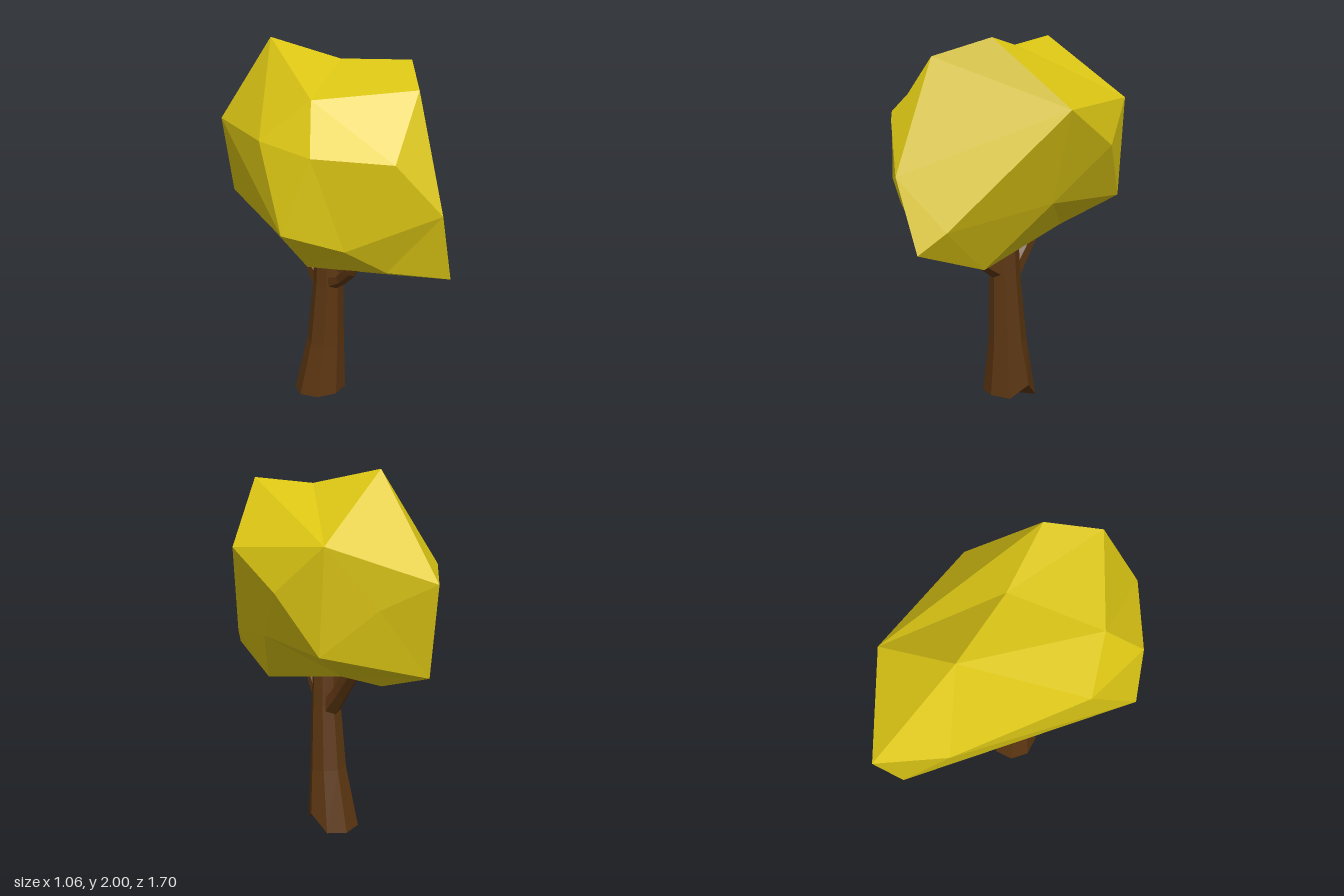
import * as THREE from 'three';
import { ConvexGeometry } from 'three/addons/geometries/ConvexGeometry.js';

const V = (x, y, z) => new THREE.Vector3(x, y, z);
const leafMaterial = new THREE.MeshStandardMaterial({ color: 0xdcc614, flatShading: true });
const barkMaterial = new THREE.MeshStandardMaterial({ color: 0x5c3611, flatShading: true });

// Faceted limb: a cylinder whose rings follow [x, y, z, radius] stations
function limb(stations, sides) {
  const last = stations.length - 1;
  const geometry = new THREE.CylinderGeometry(1, 1, 1, sides, last);
  const position = geometry.attributes.position;
  const centres = stations.map(([x, y, z]) => V(x, y, z));
  for (let i = 0; i < position.count; i++) {
    const k = Math.round((position.getY(i) + 0.5) * last);
    const along = centres[Math.min(k + 1, last)].clone().sub(centres[Math.max(k - 1, 0)]).normalize();
    const turn = new THREE.Quaternion().setFromUnitVectors(V(0, 1, 0), along);
    const p = V(position.getX(i), 0, position.getZ(i)).multiplyScalar(stations[k][3]);
    p.applyQuaternion(turn).add(centres[k]);
    position.setXYZ(i, p.x, p.y, p.z);
  }
  geometry.computeVertexNormals();
  return geometry;
}

// Uneven foot: the cut slopes up to the front, with one notch on the side
function trunkGeometry() {
  const geometry = limb([
    [0, 0.02, 0.025, 0.146], [0.015, 0.35, 0.055, 0.104],
    [0.015, 0.72, 0.075, 0.083], [0.012, 1.05, 0.078, 0.072],
  ], 8);
  const p = geometry.attributes.position;
  for (let i = 0; i < p.count; i++) {
    if (p.getY(i) < 0.15) p.setY(i, p.getX(i) > 0.13 ? 0.1 : Math.max(0, 0.02 + 0.14 * p.getZ(i)));
  }
  geometry.computeVertexNormals();
  return geometry;
}

// Corners of the leaf mass
const corners = [
  // top
  [-0.05, 2, -0.34], [0.26, 1.95, 0.41], [0.1, 1.925, 0.06], [-0.29, 1.81, 0.32], [0.09, 1.86, 0.64],
  // upper sides
  [0.37, 1.66, -0.5], [0.53, 1.61, 0.14], [-0.45, 1.6, 0.12], [-0.42, 1.59, 0.48], [-0.12, 1.56, 0.72],
  [-0.24, 1.55, -0.56], [-0.02, 1.5, -0.85],
  // lower sides
  [0.49, 1.42, -0.23], [0.17, 1.37, -0.66], [0.07, 1.31, 0.85], [-0.53, 1.22, 0.4], [0.37, 1.13, -0.45],
  [0.38, 1.14, 0.1], [-0.27, 1.12, 0.55], [-0.05, 1.04, -0.76], [0.25, 1.05, 0.7], [0.18, 0.95, 0.82],
  // underside
  [-0.06, 0.98, 0.62], [0.2, 0.82, 0.41], [-0.17, 0.87, 0.13], [-0.05, 0.91, -0.37], [0.12, 0.96, -0.26],
].map((c) => V(...c));

// Join the corners as if spread over a near sphere, then move them to their places,
// so that shallow hollows survive
function crownGeometry() {
  const spread = corners.map((c) => {
    const p = V(c.x / 0.53, (c.y - 1.42) / 0.58, c.z / 0.85);
    return p.multiplyScalar(Math.pow(p.length(), -0.85));
  });
  const geometry = new ConvexGeometry(spread);
  const position = geometry.attributes.position;
  const p = V(0, 0, 0);
  for (let i = 0; i < position.count; i++) {
    p.fromBufferAttribute(position, i);
    let best = 0;
    spread.forEach((s, k) => {
      if (s.distanceToSquared(p) < spread[best].distanceToSquared(p)) best = k;
    });
    position.setXYZ(i, corners[best].x, corners[best].y, corners[best].z);
  }
  geometry.computeVertexNormals();
  return geometry;
}

export function createModel() {
  const tree = new THREE.Group();
  tree.name = 'tree';
  const add = (name, geometry, material) => {
    const mesh = new THREE.Mesh(geometry, material);
    mesh.name = name;
    tree.add(mesh);
  };
  add('trunk', trunkGeometry(), barkMaterial);
  add('frontBranch', limb([
    [0.01, 0.73, 0.1, 0.055], [0, 0.785, 0.21, 0.036], [-0.02, 0.87, 0.31, 0.034], [-0.03, 0.97, 0.36, 0.03],
  ], 6), barkMaterial);
  add('backBranch', limb([
    [0.01, 0.7, 0.04, 0.06], [0.005, 0.81, -0.06, 0.048], [0, 1.0, -0.22, 0.042],
  ], 6), barkMaterial);
  add('crown', crownGeometry(), leafMaterial);
  return tree;
}
